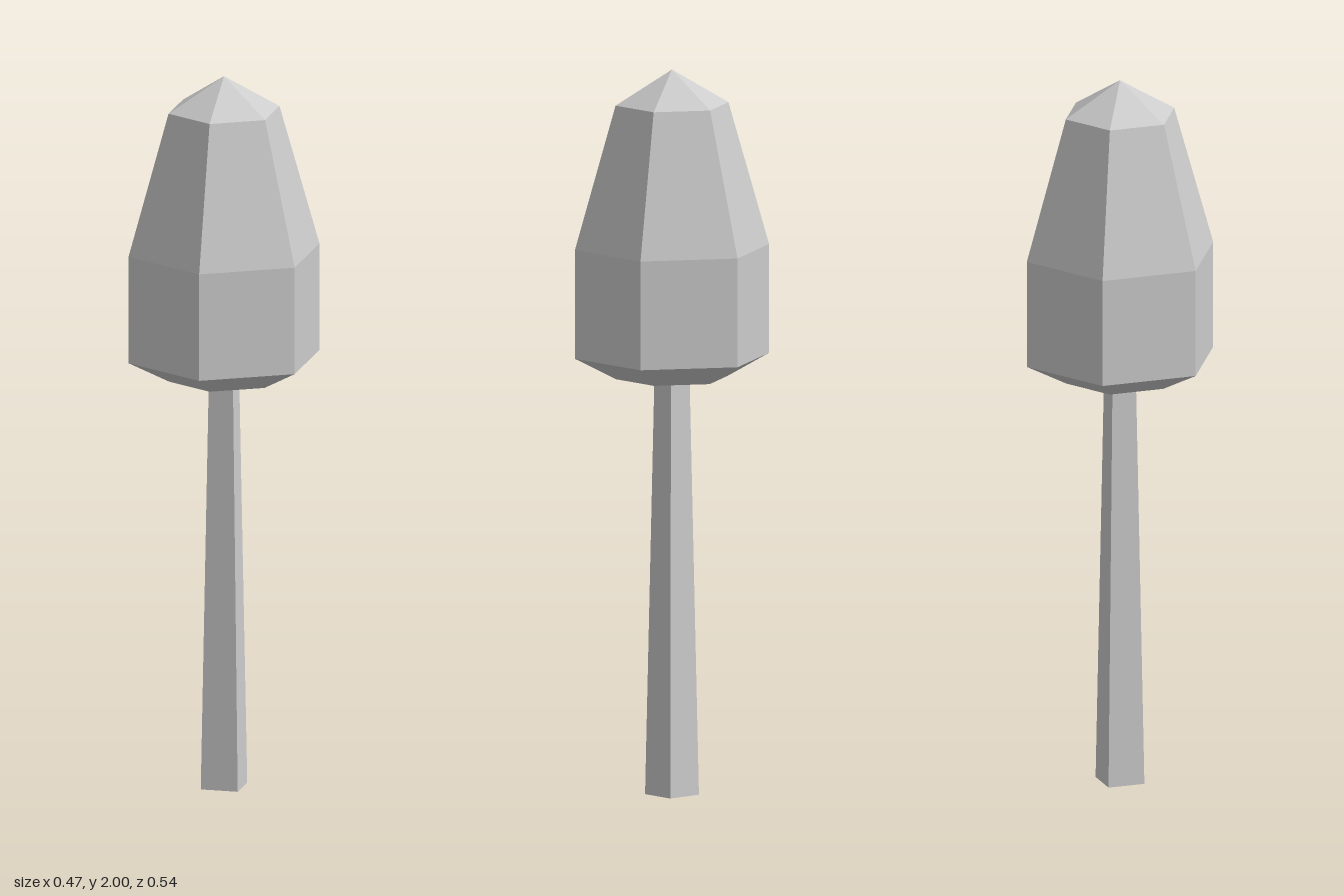
import * as THREE from 'three';

export function createModel() {
  const group = new THREE.Group();
  const material = new THREE.MeshStandardMaterial({ color: 0xcccccc, flatShading: true });

  const add = (name, geometry) => {
    const mesh = new THREE.Mesh(geometry, material);
    mesh.name = name;
    group.add(mesh);
    return mesh;
  };

  // Six-sided crown, corners on +z and -z: [radius, height] from base to tip
  const profile = [
    [0, 1.15], [0.155, 1.15], [0.27, 1.21], [0.27, 1.51], [0.157, 1.905], [0, 2],
  ].map(([r, y]) => new THREE.Vector2(r, y));
  add('crown', new THREE.LatheGeometry(profile, 6));

  // Square tapered trunk, faces square to the axes
  const height = 1.15;
  const trunk = new THREE.CylinderGeometry(0.034 * Math.SQRT2, 0.052 * Math.SQRT2, height, 4);
  trunk.rotateY(Math.PI / 4);
  trunk.translate(0, height / 2, 0);
  add('trunk', trunk);

  return group;
}
